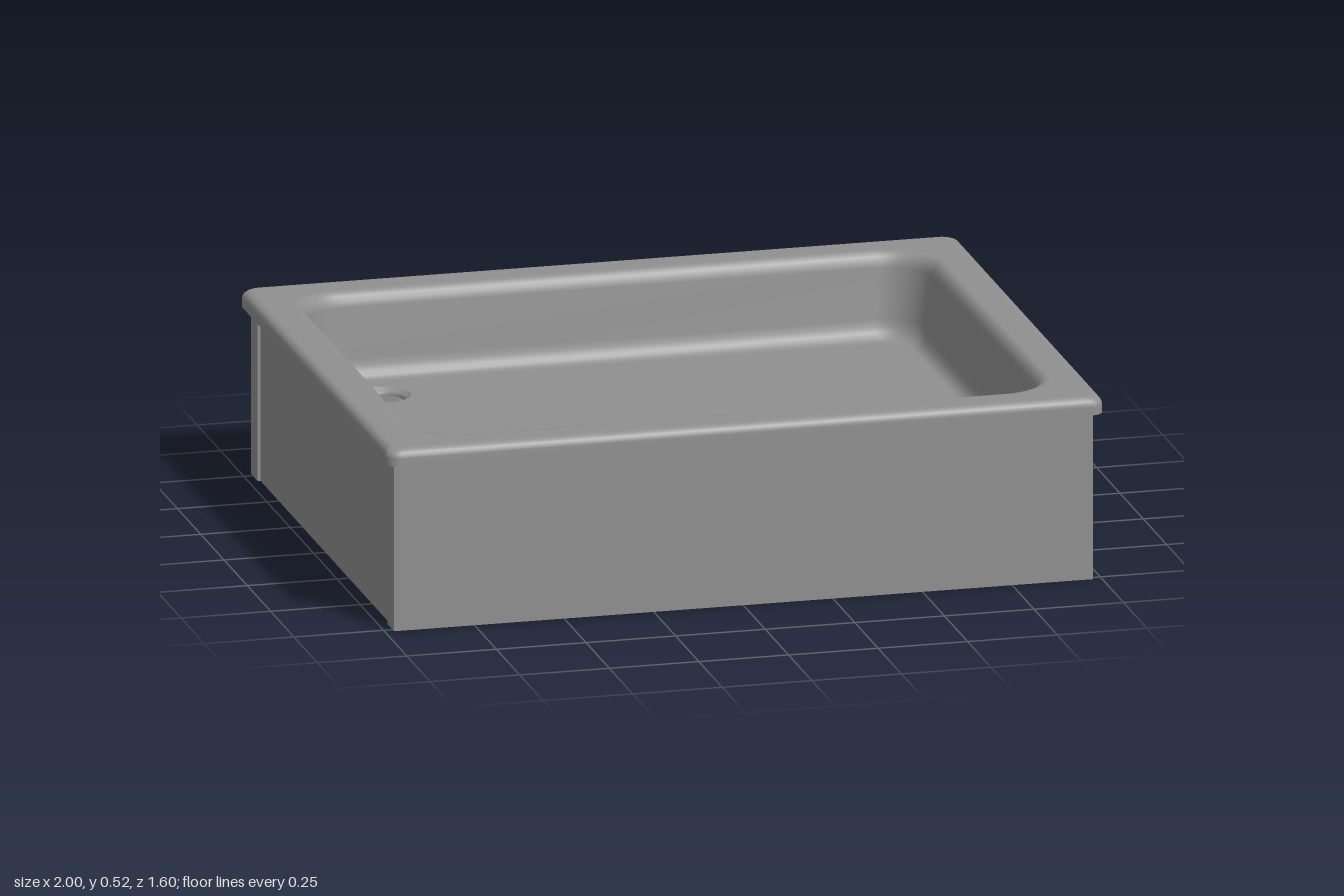
import * as THREE from 'three';

const FLOOR = { x: 0.81, z: 0.61, r: 0.085, y: 0.285 };
const DRAIN = { x: -0.68, z: -0.48, r: 0.075 };

// Rounded rectangle outline, n + 1 points per corner
function outline(hx, hz, r, n = 10) {
  const pts = [];
  const corners = [[1, 1], [-1, 1], [-1, -1], [1, -1]];
  corners.forEach(([sx, sz], q) => {
    for (let i = 0; i <= n; i++) {
      const a = (q + i / n) * Math.PI / 2;
      pts.push(new THREE.Vector2(sx * (hx - r) + r * Math.cos(a), sz * (hz - r) + r * Math.sin(a)));
    }
  });
  return pts;
}

// Skin a list of [inset, y, corner radius] rings
function loft(rings) {
  const pos = [], index = [];
  let n = 0;
  rings.forEach(([d, y, r]) => {
    const pts = outline(1 - d, 0.8 - d, r);
    n = pts.length;
    pts.forEach(p => pos.push(p.x, y, p.y));
  });
  for (let j = 0; j < rings.length - 1; j++) {
    for (let i = 0; i < n; i++) {
      const a = j * n + i, b = j * n + (i + 1) % n;
      index.push(a, a + n, b, b, a + n, b + n);
    }
  }
  const g = new THREE.BufferGeometry();
  g.setAttribute('position', new THREE.Float32BufferAttribute(pos, 3));
  g.setIndex(index);
  g.computeVertexNormals();
  return g;
}

export function createModel() {
  const group = new THREE.Group();
  const grey = new THREE.MeshStandardMaterial({ color: 0x909090, side: THREE.DoubleSide });
  grey.name = 'grey enamel';
  const add = (name, geometry, x = 0, y = 0, z = 0) => {
    const mesh = new THREE.Mesh(geometry, grey);
    mesh.name = name;
    mesh.position.set(x, y, z);
    group.add(mesh);
  };

  // Rim with rounded outer edge, then the basin wall with soft fillets
  const rings = [[0, 0.472, 0.035], [0, 0.495, 0.035]];
  for (let i = 1; i <= 5; i++) {
    const a = i / 5 * Math.PI / 2;
    rings.push([0.025 * (1 - Math.cos(a)), 0.495 + 0.025 * Math.sin(a), 0.035]);
  }
  rings.push([0.035, 0.52, 0.035], [0.09, 0.52, 0.15]);
  const wall = [[0.1, 0.52], [0.11, 0.517], [0.12, 0.508], [0.127, 0.495], [0.131, 0.48],
    [0.149, 0.34], [0.153, 0.32], [0.159, 0.305], [0.168, 0.293], [0.179, 0.287], [0.188, 0.285], [0.19, 0.285]];
  wall.forEach(([d, y]) => rings.push([d, y, 0.15 - (d - 0.1) * 0.72]));
  rings[rings.length - 1][2] = FLOOR.r;
  add('trayRimAndWalls', loft(rings));

  // Underside of the overhanging lip
  add('lipUnderside', loft([[0.06, 0.472, 0.03], [0, 0.472, 0.035]]));

  // Floor with the drain opening
  const floor = new THREE.Shape(outline(FLOOR.x, FLOOR.z, FLOOR.r));
  floor.holes.push(new THREE.Path().absarc(DRAIN.x, -DRAIN.z, DRAIN.r, 0, Math.PI * 2, true));
  add('trayFloor', new THREE.ShapeGeometry(floor, 24).rotateX(-Math.PI / 2), 0, FLOOR.y, 0);

  // Recessed drain seat
  const seat = [[0.057, -0.02], [0.057, -0.012], [0.062, -0.01], [0.07, -0.003], [DRAIN.r, 0]];
  add('drainSeat', new THREE.LatheGeometry(seat.map(p => new THREE.Vector2(...p)), 48),
    DRAIN.x, FLOOR.y, DRAIN.z);

  // Skirt: long panels at front and back, side panels set slightly in between them
  const h = 0.472, t = 0.07;
  for (const s of [1, -1]) {
    add(s > 0 ? 'frontPanel' : 'backPanel', new THREE.BoxGeometry(1.95, h, t), 0, h / 2, s * (0.766 - t / 2));
    add(s > 0 ? 'leftPanel' : 'rightPanel', new THREE.BoxGeometry(t - 0.008, h, 1.532 - 2 * t),
      s * (0.967 - (t - 0.008) / 2), h / 2, 0);
  }
  return group;
}
